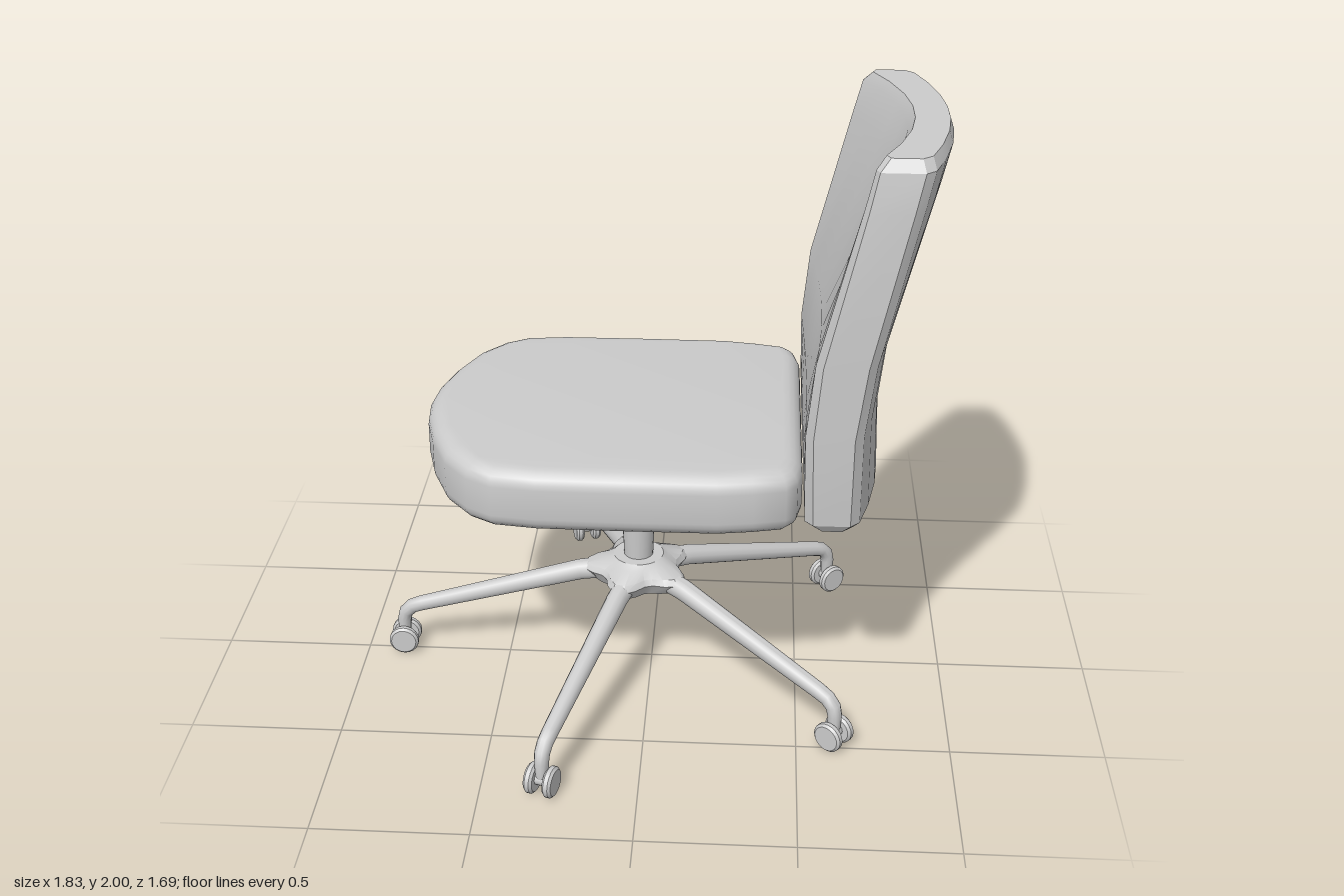
import * as THREE from 'three';
import { toCreasedNormals } from 'three/addons/utils/BufferGeometryUtils.js';

const material = new THREE.MeshStandardMaterial({ color: 0xcccccc });
const HUB_X = -0.045;

function add(parent, name, geometry, x = 0, y = 0, z = 0) {
  const mesh = new THREE.Mesh(geometry, material);
  mesh.name = name;
  mesh.position.set(x, y, z);
  parent.add(mesh);
  return mesh;
}

// Skin a stack of rings (points counter-clockwise about the stacking direction), with end caps.
function loft(rings, crease) {
  const n = rings[0].length;
  const last = (rings.length - 1) * n;
  const index = [];
  for (let i = 0; i < last; i += n) {
    for (let j = 0; j < n; j++) {
      const a = i + j, b = i + (j + 1) % n;
      index.push(a, b, b + n, a, b + n, a + n);
    }
  }
  // Each cap is a strip between points k and n-1-k
  for (let k = 0; k < n / 2 - 1; k++) {
    const a = k, b = k + 1, c = n - 2 - k, d = n - 1 - k;
    index.push(a, c, b, a, d, c);
    index.push(last + a, last + b, last + c, last + a, last + c, last + d);
  }
  const geometry = new THREE.BufferGeometry();
  geometry.setAttribute('position', new THREE.Float32BufferAttribute(rings.flat(2), 3));
  geometry.setIndex(index);
  return toCreasedNormals(geometry, crease);
}

// Seat cushion: rounded outline with a soft bevel
function seatGeometry() {
  const side = [[0.49, 0.38], [0.475, 0.45], [0.44, 0.49], [0.34, 0.513], [0.23, 0.53], [-0.05, 0.532],
    [-0.33, 0.53], [-0.47, 0.512], [-0.55, 0.465], [-0.63, 0.37], [-0.69, 0.23], [-0.725, 0.1]];
  const outline = [...side, [-0.735, 0], ...side.map(([x, z]) => [x, -z]).reverse()];
  const shape = new THREE.Shape(outline.map(([x, z]) => new THREE.Vector2(x, z)));
  const geometry = new THREE.ExtrudeGeometry(shape, {
    depth: 0.1, bevelThickness: 0.055, bevelSize: 0.06, bevelOffset: -0.06, bevelSegments: 5
  });
  geometry.rotateX(Math.PI / 2);
  return toCreasedNormals(geometry, 0.7);
}

// Backrest: crescent cross-sections that lean back and grow more concave with height
function backrestGeometry() {
  const across = [-1, -0.94, -0.7, -0.4, -0.13, 0.13, 0.4, 0.7, 0.94, 1];
  // y, front edge x, front bow, rear edge x, rear bow, half width
  const rows = [
    [0.79, 0.53, 0, 0.635, 0.085, 0.455],
    [0.82, 0.5, 0, 0.66, 0.08, 0.475],
    [0.95, 0.495, 0, 0.66, 0.075, 0.483],
    [1.12, 0.49, 0.01, 0.66, 0.07, 0.485],
    [1.36, 0.51, 0.03, 0.69, 0.065, 0.485],
    [1.85, 0.62, 0.11, 0.795, 0.09, 0.48],
    [1.965, 0.645, 0.13, 0.82, 0.092, 0.463],
    [2.0, 0.675, 0.12, 0.81, 0.09, 0.435]
  ];
  const rings = rows.map(([y, front, frontBow, rear, rearBow, w]) => {
    const point = (u, x, bow, chamfer) =>
      [x + bow * (1 - u * u) + (Math.abs(u) === 1 ? chamfer : 0), y, u * w];
    return [
      ...across.map(u => point(u, front, frontBow, 0.025)),
      ...across.map(u => point(-u, rear, rearBow, -0.02))
    ];
  });
  return loft(rings, 0.4);
}

// Star-shaped hub with a lobe for every leg
function hubGeometry() {
  const levels = [[0.32, 0.13, 0.02], [0.365, 0.165, 0.03], [0.385, 0.15, 0.025], [0.405, 0.105, 0.005], [0.42, 0.085, 0]];
  const n = 30;
  return loft(levels.map(([y, r, lobe]) => Array.from({ length: n }, (_, k) => {
    const a = (k + 0.5) / n * Math.PI * 2;
    const radius = r - lobe * Math.cos(5 * a);
    return [radius * Math.cos(a), y, -radius * Math.sin(a)];
  })), 0.5);
}

// Leg: tapered tube that slopes outward and bends down into the caster
function legGeometry() {
  // distance from hub, height, radius
  const path = [[0.1, 0.36, 0.038], [0.2, 0.345, 0.036], [0.76, 0.186, 0.027],
    [0.795, 0.173, 0.026], [0.818, 0.15, 0.025], [0.825, 0.12, 0.024], [0.825, 0.06, 0.02]];
  const sides = 12;
  const rings = path.map(([r, y, radius], i) => {
    const p = path[Math.max(i - 1, 0)], q = path[Math.min(i + 1, path.length - 1)];
    const t = new THREE.Vector2(q[0] - p[0], q[1] - p[1]).normalize();
    return Array.from({ length: sides }, (_, k) => {
      const a = (k + 0.5) / sides * Math.PI * 2;
      const c = Math.cos(a) * radius, s = Math.sin(a) * radius;
      return [r - t.y * c, y + t.x * c, s];
    });
  });
  return loft(rings, 0.8);
}

// Wheel: short cylinder with chamfered rims, axis along z
function wheelGeometry() {
  const profile = [[0, -0.015], [0.043, -0.015], [0.051, -0.007], [0.051, 0.007], [0.043, 0.015], [0, 0.015]];
  const geometry = new THREE.LatheGeometry(profile.map(([r, y]) => new THREE.Vector2(r, y)), 20);
  geometry.rotateX(Math.PI / 2);
  return toCreasedNormals(geometry, 0.6);
}

export function createModel() {
  const chair = new THREE.Group();
  chair.name = 'officeChair';

  add(chair, 'seat', seatGeometry(), 0, 0.945, 0);
  add(chair, 'backrest', backrestGeometry());

  // Pedestal
  add(chair, 'seatMount', new THREE.CylinderGeometry(0.125, 0.125, 0.1, 28), HUB_X, 0.755, 0);
  add(chair, 'column', new THREE.CylinderGeometry(0.063, 0.048, 0.32, 20), HUB_X, 0.55, 0);
  add(chair, 'hub', hubGeometry(), HUB_X, 0, 0);

  // Five legs, each with a twin-wheel caster
  const leg = legGeometry();
  const wheel = wheelGeometry();
  const axle = new THREE.CylinderGeometry(0.022, 0.022, 0.05, 12).rotateX(Math.PI / 2);
  for (let i = 0; i < 5; i++) {
    const arm = new THREE.Group();
    arm.name = 'legWithCaster';
    arm.position.x = HUB_X;
    arm.rotation.y = Math.PI + i * Math.PI * 2 / 5;
    add(arm, 'leg', leg);
    add(arm, 'axle', axle, 0.825, 0.055, 0);
    for (const side of [-1, 1]) add(arm, 'wheel', wheel, 0.825, 0.052, side * 0.032);
    chair.add(arm);
  }
  return chair;
}
